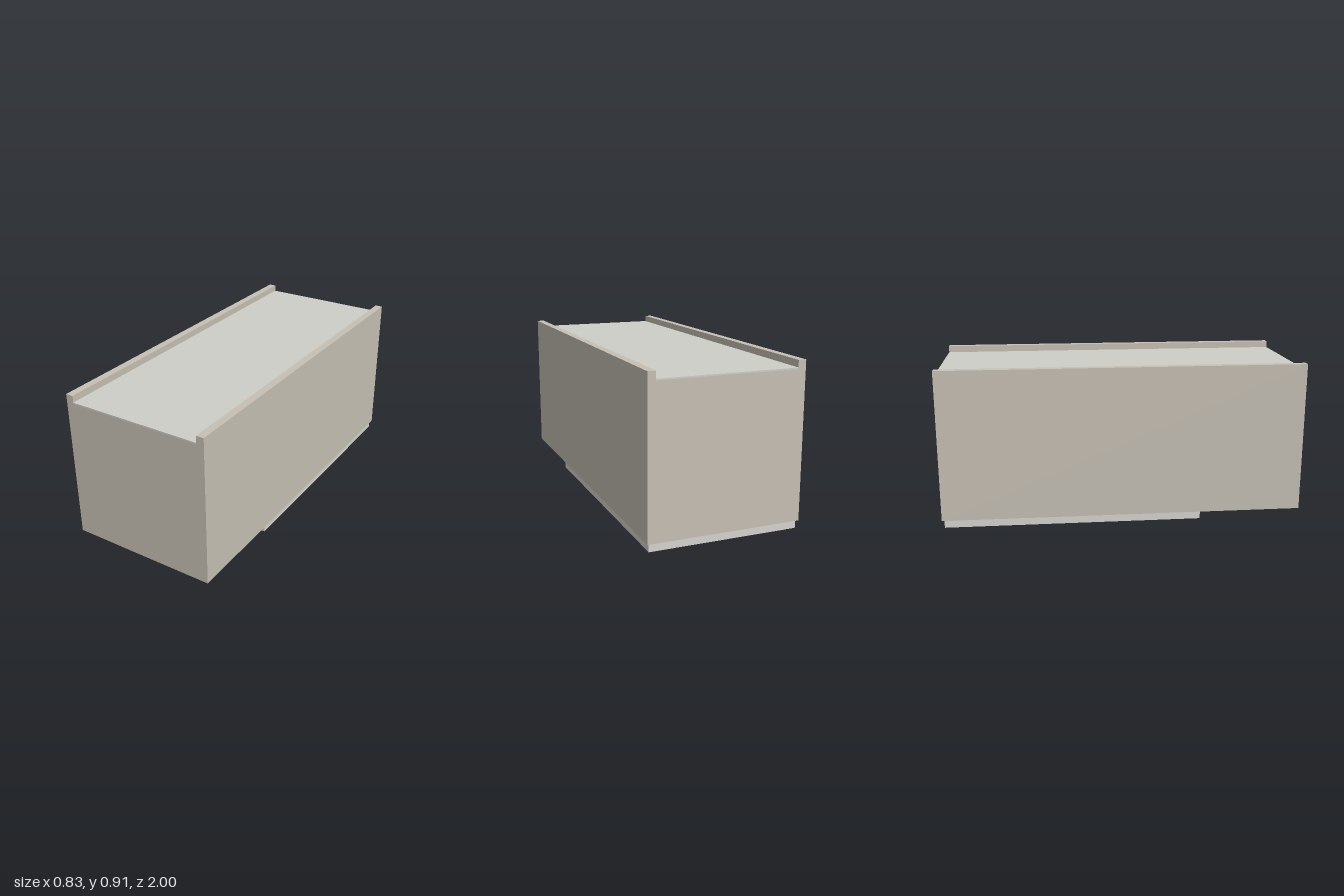
import * as THREE from 'three';

const BODY = 0xc6bfb4, BACK = 0xcfcfc8, DOOR = 0xd6d4cf, HANDLE = 0x808085;

// Box given by its lower and upper bounds on each axis
function panel(name, color, [x0, x1], [y0, y1], [z0, z1]) {
  const mesh = new THREE.Mesh(
    new THREE.BoxGeometry(x1 - x0, y1 - y0, z1 - z0),
    new THREE.MeshStandardMaterial({ color })
  );
  mesh.position.set((x0 + x1) / 2, (y0 + y1) / 2, (z0 + z1) / 2);
  mesh.name = name;
  return mesh;
}

export function createModel() {
  const model = new THREE.Group();
  model.name = 'cabinet';

  const W = 0.415, T = 0.042, IN = W - T;   // half width, board thickness, inner half width
  const bottom = 0.08, top = 0.912, backLow = 0.867, backTop = 0.875;

  // Long side boards, standing proud of the back panel
  model.add(panel('leftSide', BODY, [IN, W], [bottom, top], [-1, 1]));
  model.add(panel('rightSide', BODY, [-W, -IN], [bottom, top], [-1, 1]));

  // End boards between the sides
  model.add(panel('frontEnd', BODY, [-IN, IN], [bottom, backLow], [1 - T, 1]));
  model.add(panel('rearEnd', BODY, [-IN, IN], [bottom, backLow], [-1, -1 + T]));

  // Thin back panel closing the top; the carcass stays open below
  model.add(panel('backPanel', BACK, [-IN, IN], [backLow, backTop], [-1, 1]));

  // Door covering part of the opening, with a bar handle
  model.add(panel('door', DOOR, [-0.404, 0.404], [0.036, bottom], [-0.987, 0.432]));
  model.add(panel('handle', HANDLE, [-0.133, 0.133], [0, 0.036], [0.215, 0.244]));

  return model;
}
